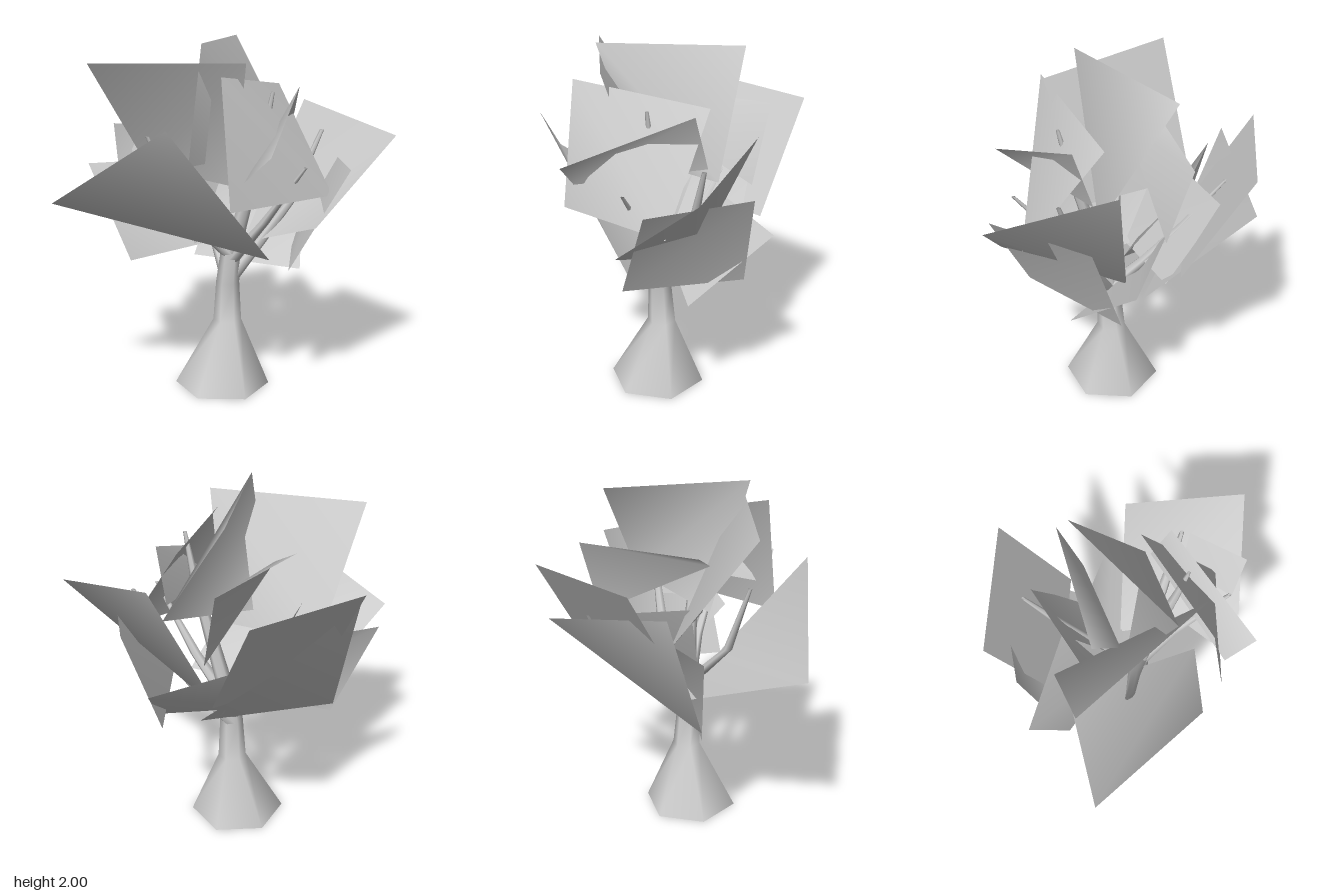
import * as THREE from 'three';
import { mergeVertices } from 'three/addons/utils/BufferGeometryUtils.js';

const material = new THREE.MeshStandardMaterial({ color: 0xcccccc, side: THREE.DoubleSide });

// Tapered six-sided limb through stations [x, y, z, radius], smooth all the way round
function limb(name, stations) {
  const last = stations.length - 1;
  let geo = new THREE.CylinderGeometry(1, 1, 1, 6, last, true);
  geo.deleteAttribute('uv');
  geo.deleteAttribute('normal');
  geo = mergeVertices(geo, 1e-3);
  const p = geo.attributes.position;
  for (let i = 0; i < p.count; i++) {
    const [x, y, z, r] = stations[Math.round((p.getY(i) + 0.5) * last)];
    p.setXYZ(i, x + p.getX(i) * r, y, z + p.getZ(i) * r);
  }
  geo.computeVertexNormals();
  const mesh = new THREE.Mesh(geo, material);
  mesh.name = name;
  return mesh;
}

// Four-cornered leaf sheet, folded along the diagonal from corner 0 to corner 2
function leaf(name, corners) {
  const geo = new THREE.BufferGeometry();
  geo.setAttribute('position', new THREE.Float32BufferAttribute(corners.flat(), 3));
  geo.setIndex([0, 1, 2, 0, 2, 3]);
  geo.computeVertexNormals();
  const mesh = new THREE.Mesh(geo, material);
  mesh.name = name;
  return mesh;
}

export function createModel() {
  const tree = new THREE.Group();
  tree.name = 'tree';

  // Trunk with a wide flared foot
  tree.add(limb('trunk', [
    [0.093, 0, 0.07, 0.27], [0.125, 0.39, 0.07, 0.08],
    [0.12, 0.62, 0.08, 0.066], [0.13, 0.8, 0.09, 0.055],
  ]));

  // Branches fanning out from the top of the trunk
  const branches = {
    middleBranch: [[0.13, 0.76, 0.09, 0.05], [0.18, 1.08, 0.16, 0.04], [0.23, 1.45, 0.26, 0.025], [0.25, 1.73, 0.32, 0.01]],
    leftBranch: [[0.13, 0.62, 0.07, 0.05], [0.29, 0.83, 0.12, 0.04], [0.45, 1.08, 0.2, 0.03], [0.6, 1.49, 0.28, 0.012]],
    rightBranch: [[0.13, 0.78, 0.09, 0.05], [-0.03, 0.93, 0.07, 0.035], [-0.2, 1.1, 0.06, 0.025], [-0.36, 1.5, 0.05, 0.01]],
    backBranch: [[0.13, 0.68, 0.05, 0.05], [0.14, 0.87, -0.12, 0.035], [0.16, 1.12, -0.32, 0.025], [0.18, 1.43, -0.54, 0.01]],
    frontBranch: [[0.13, 0.74, 0.09, 0.045], [0.23, 1.0, 0.28, 0.03], [0.31, 1.36, 0.56, 0.01]],
  };
  for (const [name, stations] of Object.entries(branches)) tree.add(limb(name, stations));

  // Large folded leaf sheets around the crown
  const leaves = {
    topLeaf: [[-0.155, 2, 0.275], [0.38, 1.97, -0.295], [0.535, 1.36, 0.09], [-0.1, 1.3, 0.02]],
    upperRightLeaf: [[0.025, 1.905, 0.42], [-0.6, 1.875, -0.175], [-0.165, 1.23, -0.355], [0.1, 1.2, 0.18]],
    lowerRightLeaf: [[-0.86, 1.165, -0.08], [-0.44, 1.6, 0.43], [0.19, 0.83, 0.41], [-0.145, 0.89, -0.3]],
    frontLeaf: [[-0.14, 1.85, 0.455], [-0.135, 1.17, 0.55], [0.535, 1.17, 0.49], [0.45, 1.73, 0.065]],
    frontSmallLeaf: [[0.485, 1.73, 0.22], [0.01, 1.47, 0.7], [-0.055, 1.32, 0.55], [0.49, 1.43, 0.12]],
    outerLeftLeaf: [[0.855, 1.49, 0.61], [0.685, 1.61, -0.03], [0.28, 0.8, -0.03], [0.33, 1.05, 0.64]],
    lowerLeftLeaf: [[0.78, 1.335, 0.1], [0.535, 1.34, 0.65], [0.25, 0.79, 0.51], [0.63, 0.79, -0.03]],
    lowLeftLeaf: [[0.75, 1.06, -0.115], [0.25, 1.13, -0.25], [0, 0.75, -0.1], [0.49, 0.69, 0.26]],
    backLeaf: [[-0.2, 1.62, -0.685], [0.495, 1.62, -0.685], [0.495, 1.02, -0.33], [-0.2, 1.02, -0.33]],
    backLowerLeaf: [[0.39, 1.35, -0.705], [-0.305, 1.475, -0.52], [-0.33, 0.76, -0.29], [0.45, 0.83, -0.13]],
    backUpperLeaf: [[0.495, 1.665, -0.38], [-0.17, 1.665, -0.14], [-0.12, 1.58, 0], [0.49, 1.23, -0.25]],
    innerLeaf: [[0.29, 1.34, -0.527], [-0.165, 1.4, -0.2], [-0.05, 0.85, 0], [0.4, 0.9, -0.25]],
    backRightLeaf: [[-0.495, 1.27, -0.455], [-0.32, 0.71, -0.28], [0.1, 0.85, 0], [0.05, 1.27, -0.33]],
  };
  for (const [name, corners] of Object.entries(leaves)) tree.add(leaf(name, corners));

  return tree;
}
